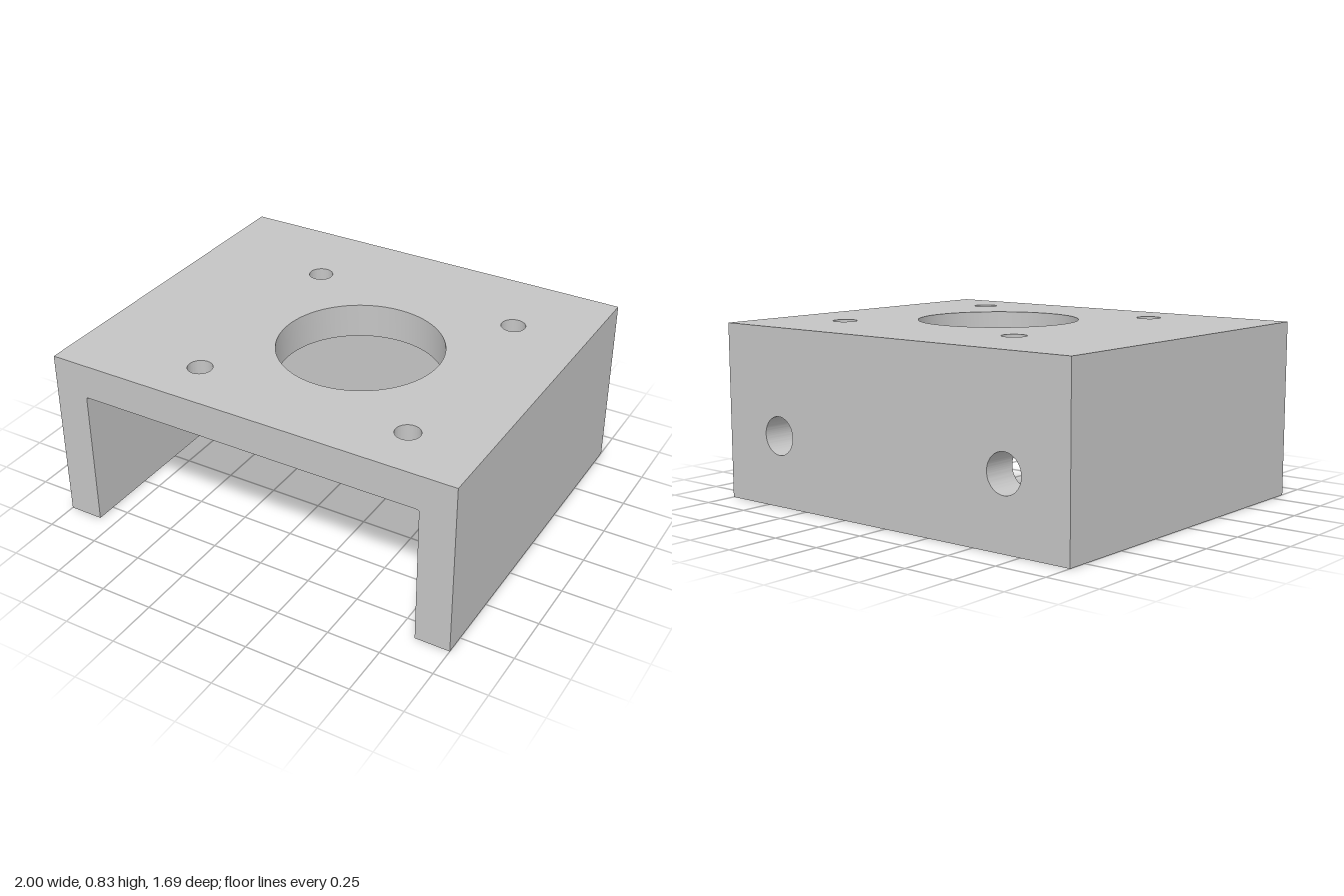
import * as THREE from 'three';
import { toCreasedNormals } from 'three/addons/utils/BufferGeometryUtils.js';

const W = 2, H = 0.833, D = 1.694, T = 0.165; // outer size and wall thickness
const IN_X = W / 2 - T, IN_Y = H - T, FILLET = 0.01;

// Rectangle with round holes [x, y, radius], extruded by the wall thickness
function drilledPlate(x0, y0, x1, y1, holes) {
  const shape = new THREE.Shape();
  shape.moveTo(x0, y0).lineTo(x1, y0).lineTo(x1, y1).lineTo(x0, y1).closePath();
  for (const [x, y, r] of holes) {
    shape.holes.push(new THREE.Path().absarc(x, y, r, 0, Math.PI * 2, true));
  }
  const geometry = new THREE.ExtrudeGeometry(shape, { depth: T, bevelEnabled: false, curveSegments: 64 });
  return toCreasedNormals(geometry, 0.5);
}

export function createModel() {
  const model = new THREE.Group();
  model.name = 'mountingBracket';
  const grey = new THREE.MeshStandardMaterial({ color: 0xc4c4c4 });
  grey.name = 'lightGrey';
  const add = (name, geometry, x = 0, y = 0, z = 0) => {
    const mesh = new THREE.Mesh(geometry, grey);
    mesh.name = name;
    mesh.position.set(x, y, z);
    model.add(mesh);
  };

  // Top plate: large offset bore and four screw holes around it
  const cx = 0.132, cz = 0.082, pitch = 0.516;
  const topHoles = [[cx, cz, 0.383]];
  for (const sx of [-1, 1]) {
    for (const sz of [-1, 1]) topHoles.push([cx + sx * pitch, cz + sz * pitch, 0.057]);
  }
  const top = drilledPlate(-W / 2, -D / 2, W / 2, D / 2, topHoles);
  top.rotateX(Math.PI / 2);
  add('topPlate', top, 0, H);

  // Back wall with two fixing holes
  const backHoles = [-1, 1].map((s) => [s * 0.666, 0.333, 0.09]);
  add('backWall', drilledPlate(-IN_X, 0, IN_X, IN_Y, backHoles), 0, 0, -D / 2);

  // Side walls and the small fillets under the top plate
  for (const s of [1, -1]) {
    const side = s > 0 ? 'left' : 'right';
    add(side + 'Wall', new THREE.BoxGeometry(T, IN_Y, D), s * (W - T) / 2, IN_Y / 2);

    const corner = new THREE.Shape();
    corner.moveTo(s * IN_X, IN_Y).lineTo(s * (IN_X - FILLET), IN_Y);
    corner.absarc(s * (IN_X - FILLET), IN_Y - FILLET, FILLET, Math.PI / 2, s > 0 ? 0 : Math.PI, s > 0);
    corner.closePath();
    const fillet = new THREE.ExtrudeGeometry(corner, { depth: D - T, bevelEnabled: false, curveSegments: 6 });
    add(side + 'Fillet', toCreasedNormals(fillet, 0.5), 0, 0, T - D / 2);
  }
  return model;
}
